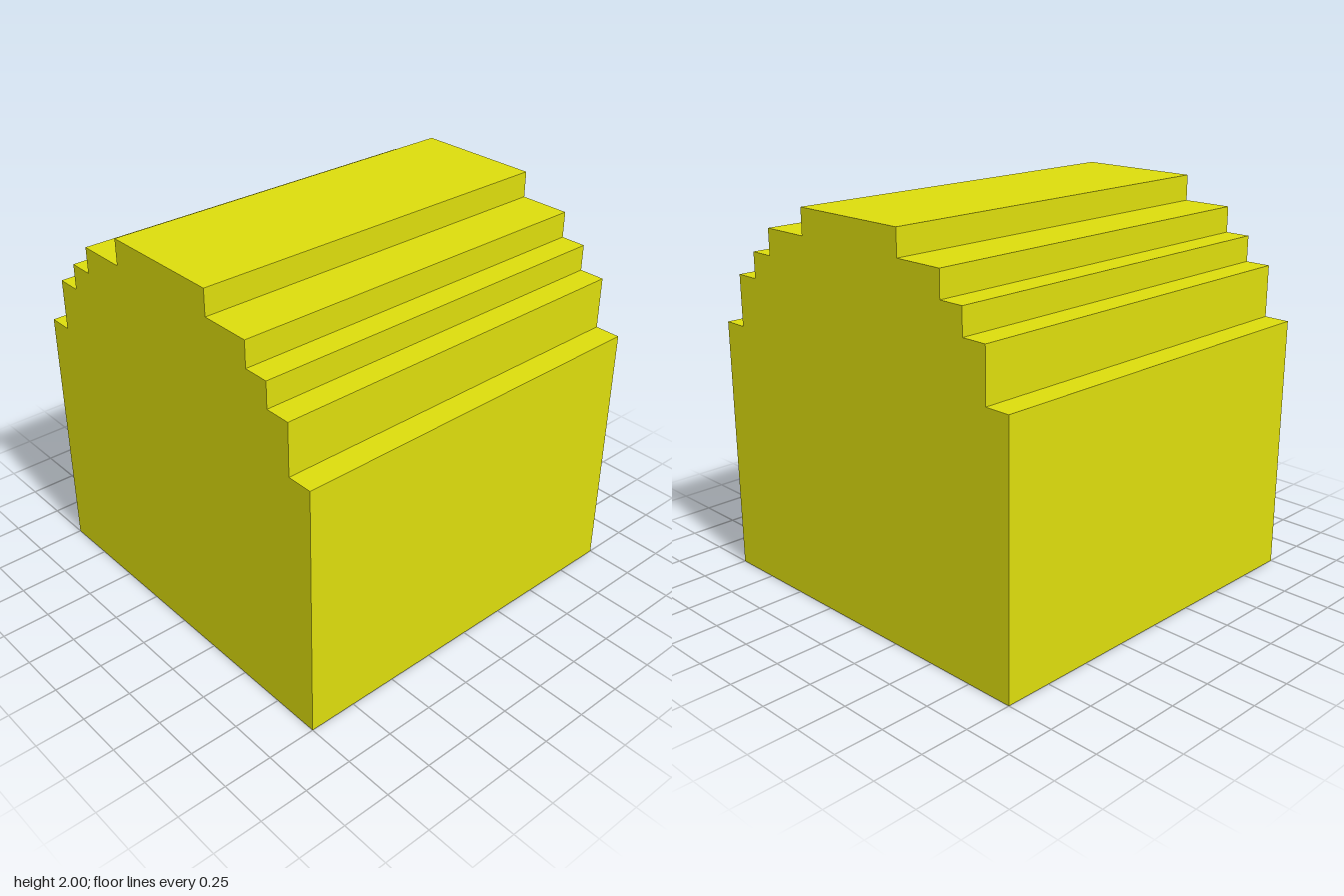
import * as THREE from 'three';

export function createModel() {
  const group = new THREE.Group();
  group.name = 'steppedBlock';

  // Stepped profile on a grid of 15 units: [half depth, top height] per step
  const unit = 2 / 15;
  const steps = [[7.5, 10], [6.5, 12], [5.5, 13], [4.5, 14], [2.5, 15]];
  const side = [];
  let base = 0;
  for (const [half, top] of steps) {
    side.push([half * unit, base * unit], [half * unit, top * unit]);
    base = top;
  }

  // Right half going up, then its mirror coming down
  const outline = [
    ...side.map(([z, y]) => new THREE.Vector2(z, y)),
    ...side.slice().reverse().map(([z, y]) => new THREE.Vector2(-z, y)),
  ];

  // Extruded across the full width
  const geometry = new THREE.ExtrudeGeometry(new THREE.Shape(outline), { depth: 2, bevelEnabled: false });
  geometry.translate(0, 0, -1);
  geometry.rotateY(Math.PI / 2);

  const block = new THREE.Mesh(geometry, new THREE.MeshStandardMaterial({ color: 0xdddd0d, flatShading: true }));
  block.name = 'steppedArchBlock';
  group.add(block);
  return group;
}
